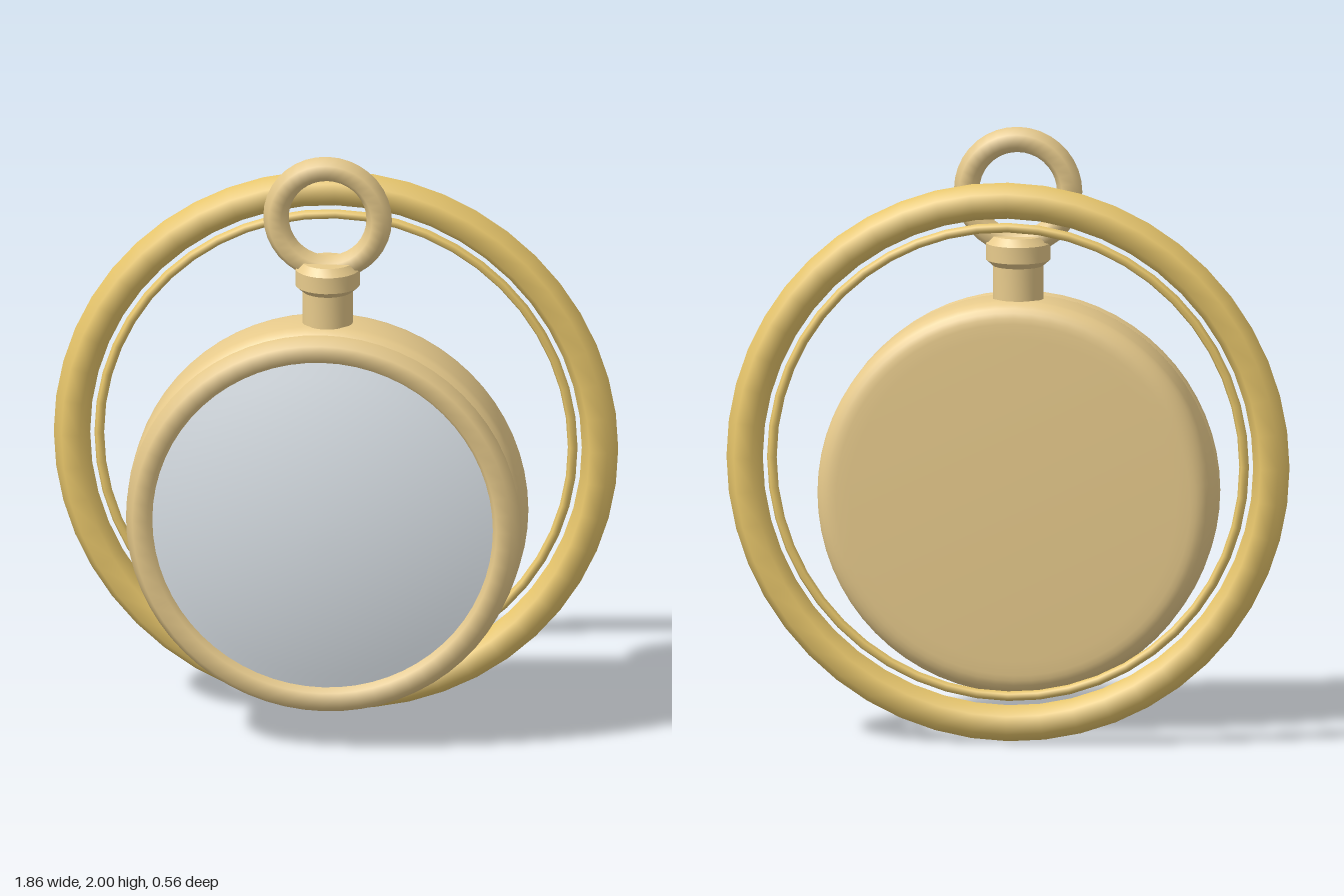
import * as THREE from 'three';
import { toCreasedNormals } from 'three/addons/utils/BufferGeometryUtils.js';

const CASE_Y = 0.78, RING_Y = 0.932, RING_Z = -0.23, STEM_Z = 0.04;

export function createModel() {
  const model = new THREE.Group();
  model.name = 'pocketWatch';
  const caseGold = new THREE.MeshStandardMaterial({ color: 0xe8cb8c });
  const ringGold = new THREE.MeshStandardMaterial({ color: 0xeac86c });
  const glass = new THREE.MeshStandardMaterial({ color: 0xdde4ea });

  const add = (name, geometry, material, y, z) => {
    const mesh = new THREE.Mesh(geometry, material);
    mesh.name = name;
    mesh.position.set(0, y, z);
    model.add(mesh);
    return mesh;
  };
  // Ring with a hexagonal, smooth-shaded section
  const ring = (name, radius, tube, material, y, z, segments = 48) =>
    add(name, new THREE.TorusGeometry(radius, tube, 6, segments), material, y, z);
  // Turned part from [radius, height] pairs
  const lathe = (pairs, segments, crease = 0.7) => toCreasedNormals(
    new THREE.LatheGeometry(pairs.map(([r, h]) => new THREE.Vector2(r, h)), segments), crease);

  // Case body: flat back, rounded rear rim, small front bevel
  const profile = [[0, -0.09], [0.54, -0.09]];
  for (let i = 0; i <= 6; i++) {
    const a = (i / 6) * Math.PI / 2;
    profile.push([0.585 + 0.07 * Math.sin(a), -0.025 - 0.063 * Math.cos(a)]);
  }
  profile.push([0.655, 0.10], [0.65, 0.125], [0.635, 0.14], [0, 0.14]);
  add('caseBody', lathe(profile, 64), caseGold, CASE_Y, 0).rotation.x = Math.PI / 2;

  // Bezel and domed crystal
  ring('bezel', 0.6, 0.05, caseGold, CASE_Y, 0.182, 64);
  const dome = [];
  for (let i = 0; i <= 10; i++) {
    const r = 0.57 * (1 - i / 10);
    dome.push([r, 0.28 - r * r / 4]);
  }
  add('crystal', lathe(dome, 64), glass, CASE_Y, 0).rotation.x = Math.PI / 2;

  // Stem, crown collar and hanging bow
  add('stem', lathe([[0, 1.40], [0.083, 1.40], [0.083, 1.55], [0, 1.55]], 24), caseGold, 0, STEM_Z);
  add('crown', lathe([[0, 1.54], [0.083, 1.54], [0.106, 1.56], [0.106, 1.615],
    [0.085, 1.64], [0, 1.64]], 24, 0.5), caseGold, 0, STEM_Z);
  ring('bow', 0.17, 0.042, caseGold, 1.788, STEM_Z, 36);

  // Separate ring behind the case with a thin inner band
  ring('outerRing', 0.87, 0.06, ringGold, RING_Y, RING_Z);
  ring('innerRing', 0.78, 0.016, ringGold, RING_Y, RING_Z);

  return model;
}
